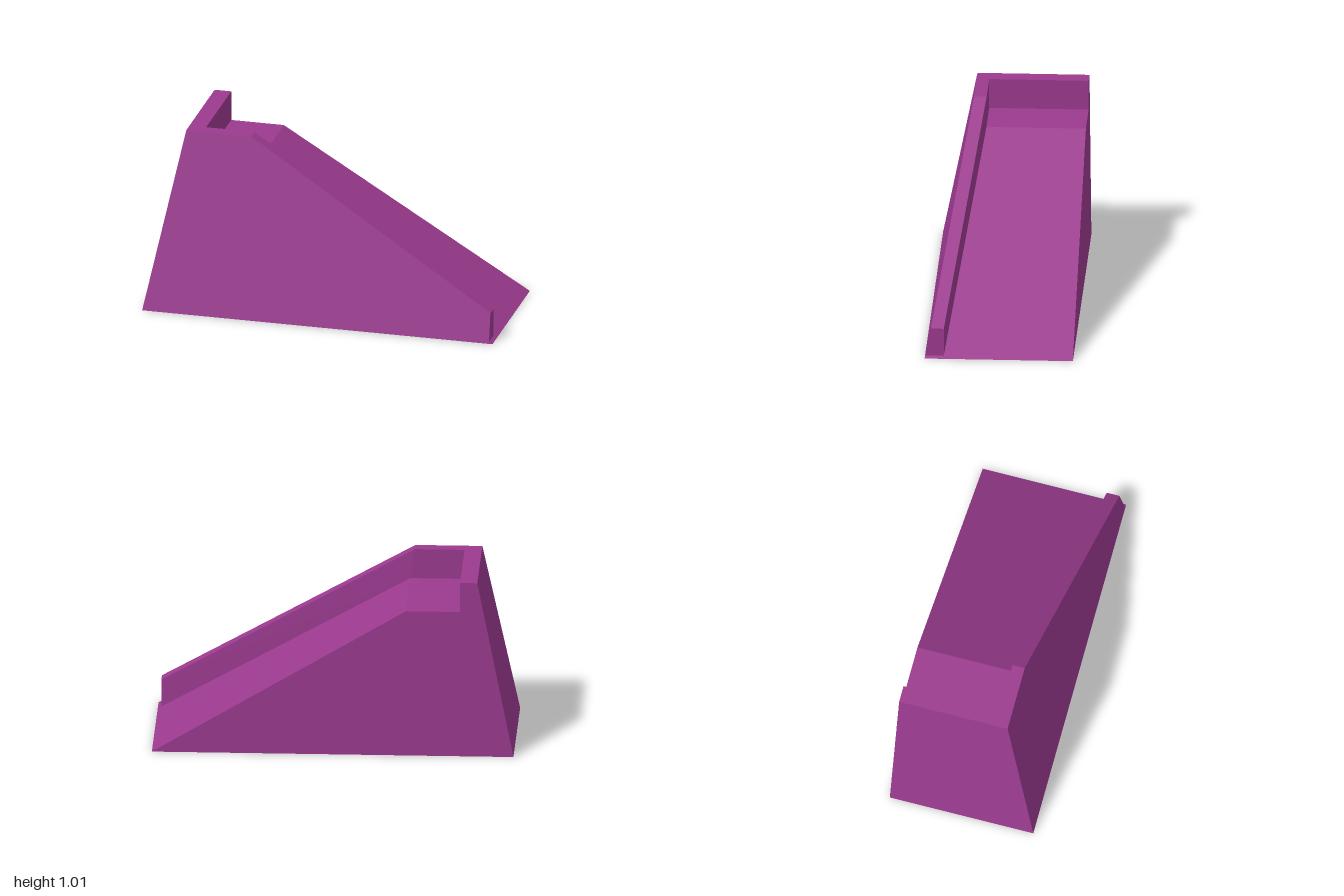
import * as THREE from 'three';

const BACK = -0.41;
// the front leans back as it rises
const frontZ = (x, y) => 0.41 - 0.197 * y;
// inner face of the front parapet: straight along the landing, then following the ramp
const innerZ = (x) => 0.14 + 0.165 * Math.max(0, (x + 0.405) / 1.385);

// Extrudes an xy profile, then places its back and front caps by rule
function slab(name, points, backRule, material) {
  const shape = new THREE.Shape(points.map(([x, y]) => new THREE.Vector2(x, y)));
  const geometry = new THREE.ExtrudeGeometry(shape, { depth: 1, bevelEnabled: false });
  const p = geometry.attributes.position;
  for (let i = 0; i < p.count; i++) {
    const rule = p.getZ(i) > 0.5 ? frontZ : backRule;
    p.setZ(i, rule(p.getX(i), p.getY(i)));
  }
  geometry.computeVertexNormals();
  const mesh = new THREE.Mesh(geometry, material);
  mesh.name = name;
  return mesh;
}

export function createModel() {
  const purple = new THREE.MeshStandardMaterial({ color: 0x9b3a8f });
  purple.name = 'purple';
  const group = new THREE.Group();
  group.name = 'rampBlock';

  // ramp, landing and raised end wall
  group.add(slab('rampBody', [
    [-1, 0], [1, 0], [-0.405, 0.845], [-0.705, 0.845], [-0.705, 1.015], [-0.8, 1.015],
  ], () => BACK, purple));

  // parapet beside the landing
  group.add(slab('landingParapet', [
    [-0.705, 0.845], [-0.405, 0.845], [-0.43, 1.015], [-0.705, 1.015],
  ], innerZ, purple));

  // parapet running down the ramp
  group.add(slab('rampParapet', [
    [-0.405, 0.845], [0.98, 0.012], [0.98, 0.17], [-0.43, 1.015],
  ], innerZ, purple));

  return group;
}
